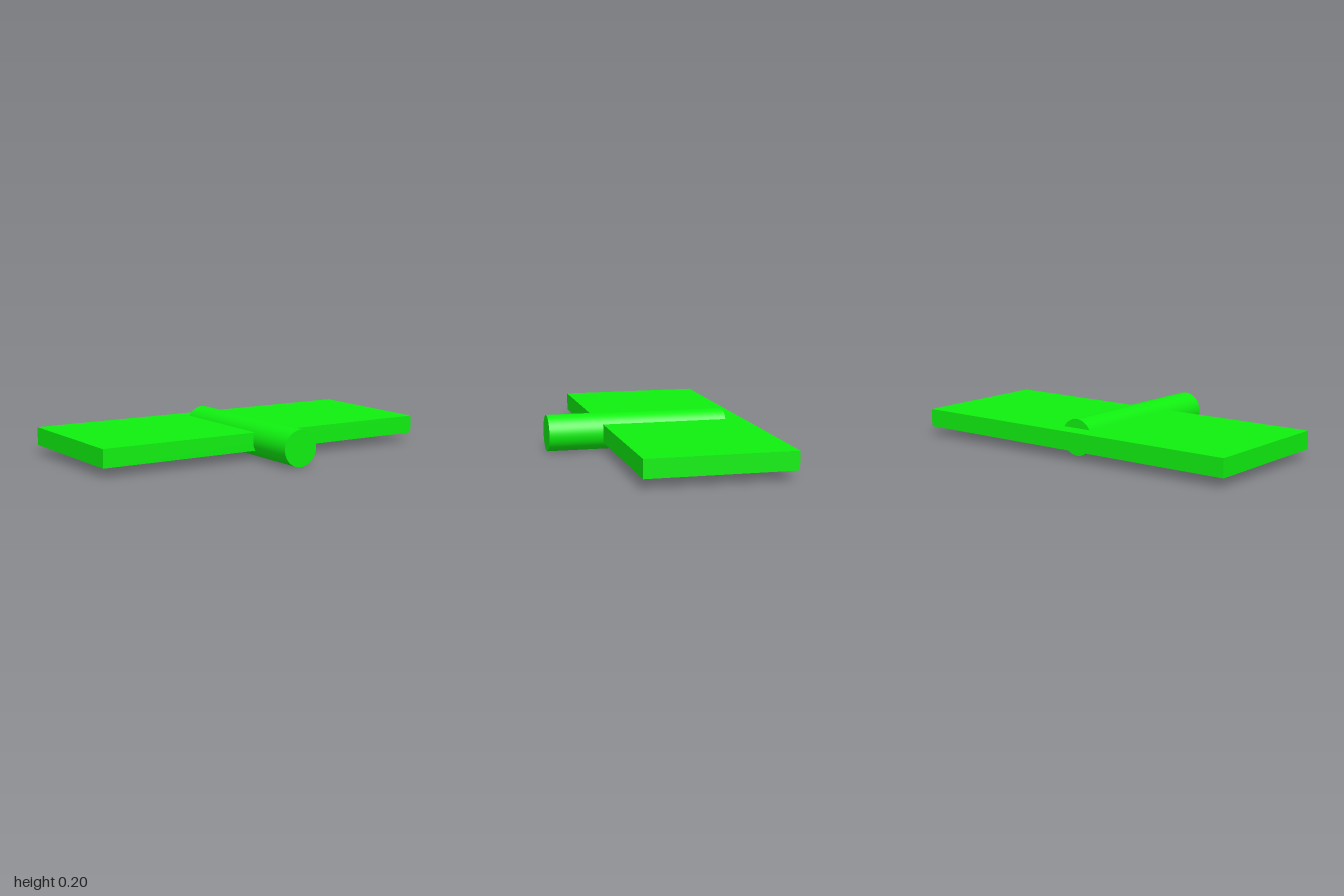
import * as THREE from 'three';

export function createModel() {
  const group = new THREE.Group();
  const green = new THREE.MeshStandardMaterial({ color: 0x10f010 });

  const addPart = (name, geometry, y, z) => {
    const mesh = new THREE.Mesh(geometry, green);
    mesh.name = name;
    mesh.position.set(0, y, z);
    group.add(mesh);
  };

  // Flat plate, set towards the back
  addPart('plate', new THREE.BoxGeometry(2, 0.1, 0.8), 0.1, -0.15);

  // Round rod through the plate, protruding at the front
  const rod = new THREE.CylinderGeometry(0.1, 0.1, 1, 64).rotateX(Math.PI / 2);
  addPart('rod', rod, 0.1, 0.05);

  return group;
}
